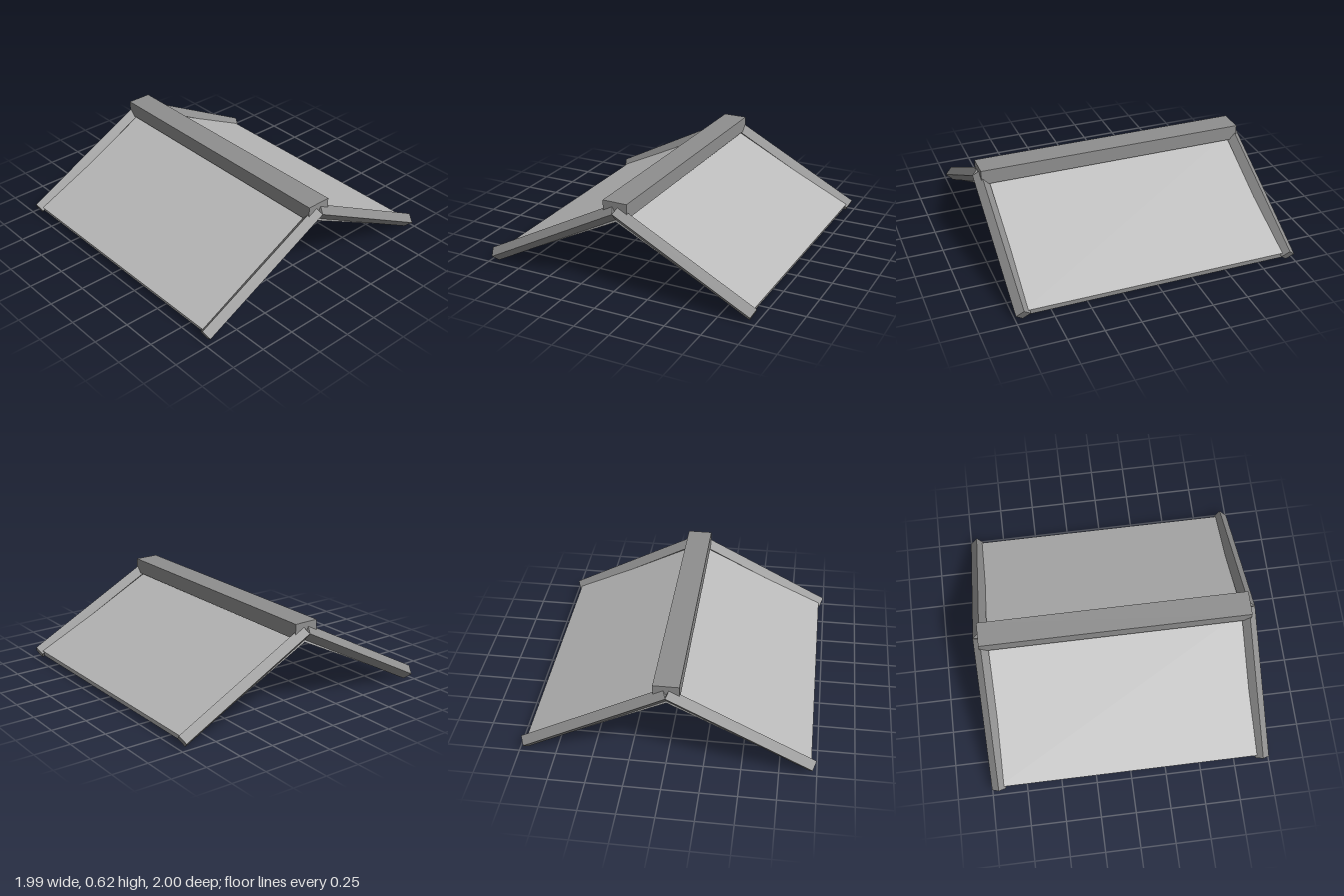
import * as THREE from 'three';

export function createModel() {
  const model = new THREE.Group();
  model.name = 'gableRoof';

  const panelGrey = new THREE.MeshStandardMaterial({ color: 0xbbbbbb, flatShading: true });
  panelGrey.name = 'panelGrey';
  const trimGrey = new THREE.MeshStandardMaterial({ color: 0x8f8f8f, flatShading: true });
  trimGrey.name = 'trimGrey';

  const add = (name, geometry, material) => {
    const mesh = new THREE.Mesh(geometry, material);
    mesh.name = name;
    model.add(mesh);
    return mesh;
  };

  // Two sloping panels: a folded slab run from front to back
  const profile = new THREE.Shape([
    [0, 0.542], [-0.96, 0.07], [-0.936, 0.02], [0, 0.487], [0.936, 0.02], [0.96, 0.07],
  ].map(([x, y]) => new THREE.Vector2(x, y)));
  const panels = new THREE.ExtrudeGeometry(profile, { depth: 1.9, bevelEnabled: false });
  panels.translate(0, 0, -0.95);
  add('roofPanels', panels, panelGrey);

  // Ridge cap along the top
  add('ridgeCap', new THREE.BoxGeometry(0.175, 0.105, 1.92), trimGrey)
    .position.set(0, 0.5775, 0);

  // Diamond-section beams along the sloping edges at both gables
  const run = 0.97, eaveY = 0.05, ridgeY = 0.56;
  const rise = ridgeY - eaveY;
  for (const end of [1, -1]) {
    for (const side of [1, -1]) {
      const beam = add(
        `${end > 0 ? 'front' : 'back'}${side > 0 ? 'Left' : 'Right'}Beam`,
        new THREE.CylinderGeometry(0.05, 0.05, Math.hypot(run, rise), 4),
        trimGrey,
      );
      beam.position.set(side * run / 2, (eaveY + ridgeY) / 2, end * 0.95);
      beam.rotation.z = side * Math.atan2(run, rise);
    }
  }

  return model;
}
